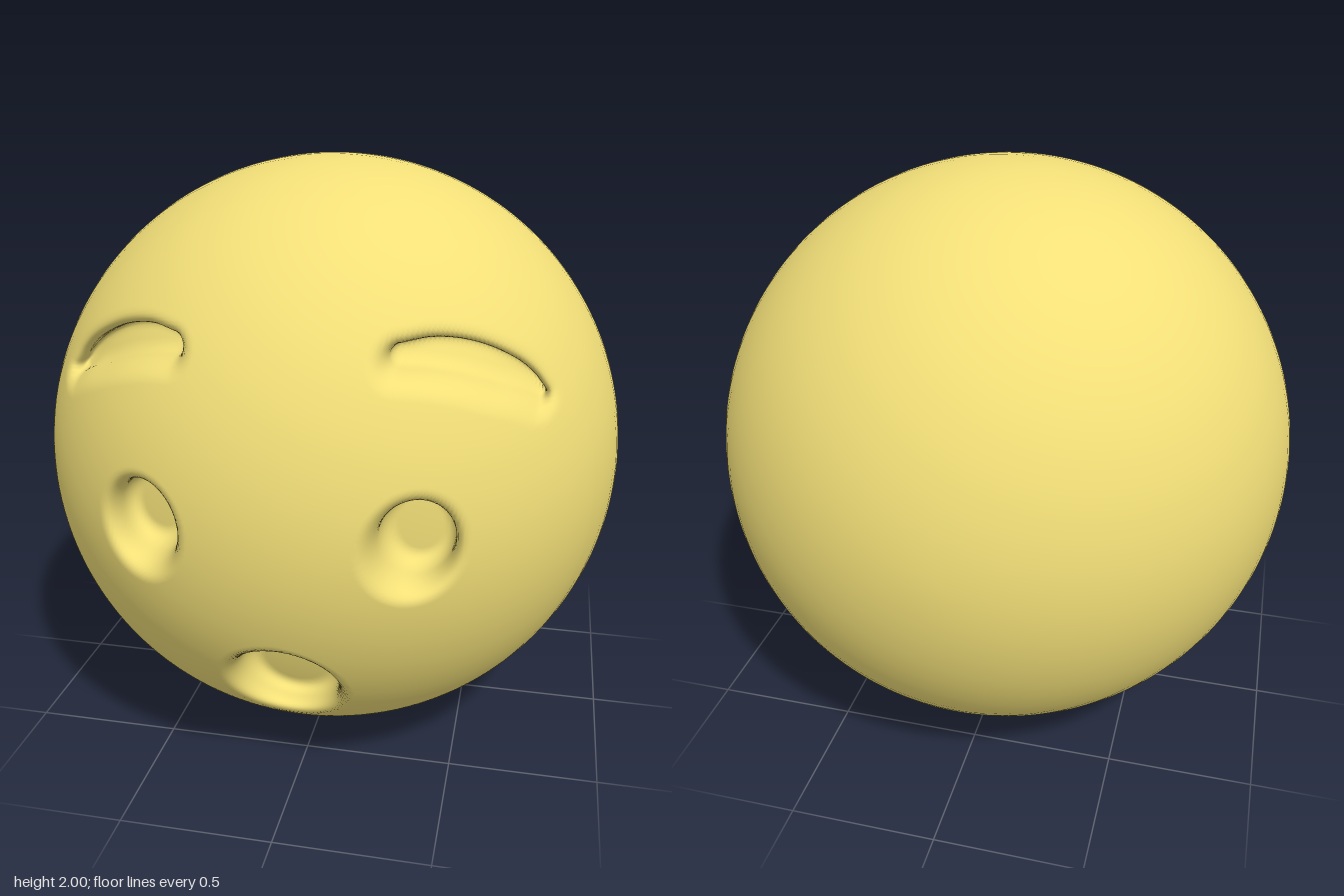
import * as THREE from 'three';
import { mergeVertices } from 'three/addons/utils/BufferGeometryUtils.js';

const ROWS = 160, FRONT_ROWS = 130, COLUMNS = 400, FRONT_ANGLE = 1.15;
const sphereZ = (x, y) => Math.sqrt(Math.max(0, 1 - x * x - y * y));

// Signed distance to an ellipse, good enough near its rim
const ellipse = (cx, cy, rx, ry) => (x, y) =>
  (Math.hypot((x - cx) / rx, (y - cy) / ry) - 1) * (rx + ry) / 2;

// Signed distance to a tapering stroke; each point is x, y, half width
function stroke(points) {
  const curve = new THREE.CatmullRomCurve3(points.map(p => new THREE.Vector3(...p)));
  const dots = curve.getPoints(48);
  return (x, y) => dots.reduce((d, p) => Math.min(d, Math.hypot(x - p.x, y - p.y) - p.z), 9);
}

// Recesses on the +x half (mirrored), with y measured from the ball's centre
const recesses = [
  { distance: ellipse(0.405, -0.005, 0.11, 0.127), x: 0.405, y: -0.005, depth: 0.2, inner: 0.04 }, // eyes
  { distance: ellipse(0, -0.555, 0.16, 0.157), x: 0, y: -0.555, depth: 0.2, inner: 0.04 }, // mouth
  { // brows
    distance: stroke([[0.335, 0.508, 0.033], [0.42, 0.507, 0.043], [0.52, 0.484, 0.045],
      [0.62, 0.439, 0.039], [0.68, 0.402, 0.028], [0.728, 0.36, 0.014]]),
    x: 0.52, y: 0.48, depth: 0.14, inner: 0.03, followSurface: true,
  },
];
const OUTER = 0.05;

// Press one recess into a point: gather points at the rim, then sink them along z
function press(p, recess) {
  const { distance, inner, depth } = recess;
  const side = p.x < 0 ? -1 : 1;
  let x = Math.abs(p.x), y = p.y;
  const d = distance(x, y);
  if (d >= OUTER) return;
  const e = 0.002;
  const gx = distance(x + e, y) - distance(x - e, y);
  const gy = distance(x, y + e) - distance(x, y - e);
  const length = Math.hypot(gx, gy) || 1;
  const width = d > 0 ? OUTER : inner;
  const target = Math.abs(d) < width ? d * Math.abs(d) / width : d;
  x += gx / length * (target - d);
  y += gy / length * (target - d);
  const t = 1 - THREE.MathUtils.smoothstep(d, -inner, OUTER);
  const surface = sphereZ(x, y);
  const flat = sphereZ(recess.x, recess.y);
  const floor = THREE.MathUtils.lerp(surface, flat, recess.followSurface ? 0 : 0.5) - depth;
  p.set(side * x, y, THREE.MathUtils.lerp(surface, floor, t));
}

export function createModel() {
  const group = new THREE.Group();
  group.name = 'surprisedFaceBall';

  // Ball with its pole at the front, seam welded
  let geometry = new THREE.SphereGeometry(1, COLUMNS, ROWS).rotateX(Math.PI / 2);
  geometry.deleteAttribute('uv');
  geometry.deleteAttribute('normal');
  geometry = mergeVertices(geometry, 1e-5);

  const position = geometry.attributes.position;
  const p = new THREE.Vector3();
  const split = FRONT_ROWS / ROWS;
  for (let i = 0; i < position.count; i++) {
    p.fromBufferAttribute(position, i);
    // Crowd most rows onto the face
    const f = Math.acos(THREE.MathUtils.clamp(p.z, -1, 1)) / Math.PI;
    const angle = f < split ? f / split * FRONT_ANGLE
      : FRONT_ANGLE + (f - split) / (1 - split) * (Math.PI - FRONT_ANGLE);
    const turn = Math.atan2(p.y, p.x);
    p.set(Math.sin(angle) * Math.cos(turn), Math.sin(angle) * Math.sin(turn), Math.cos(angle));
    if (p.z > 0.2) {
      const recess = recesses.find(r => r.distance(Math.abs(p.x), p.y) < OUTER);
      if (recess) press(p, recess);
    }
    position.setXYZ(i, p.x, p.y, p.z);
  }
  geometry.computeVertexNormals();

  const head = new THREE.Mesh(geometry, new THREE.MeshStandardMaterial({ color: 0xf2df78 }));
  head.name = 'headWithEyesBrowsAndMouth';
  head.position.y = 1;
  group.add(head);
  return group;
}
